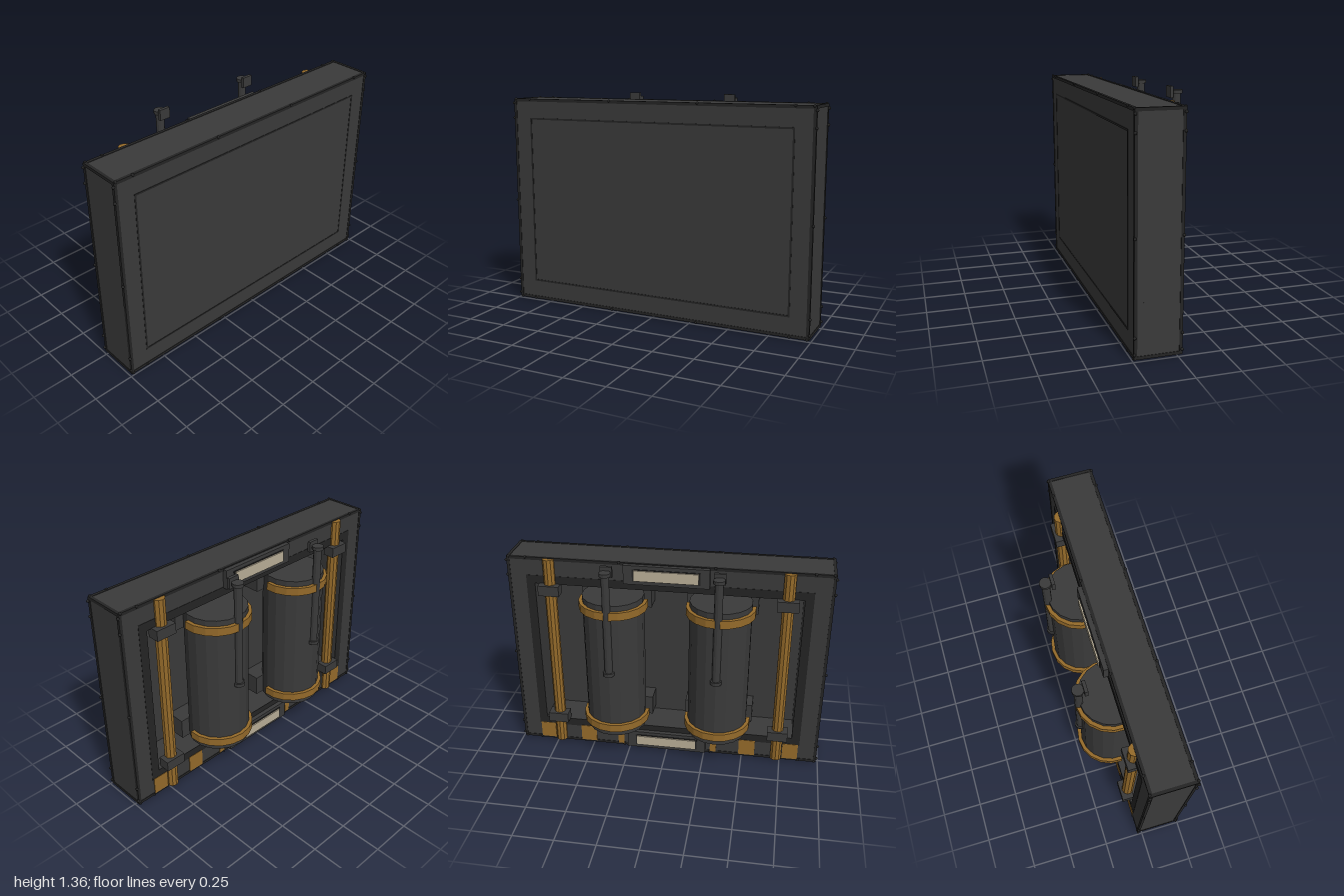
import * as THREE from 'three';

export function createModel() {
  const model = new THREE.Group();
  const mat = (name, color) => {
    const m = new THREE.MeshStandardMaterial({ color });
    m.name = name;
    return m;
  };
  const charcoal = mat('charcoal', 0x3a3a3a);
  const black = mat('black', 0x242424);
  const brass = mat('brass', 0x946a2a);
  const cream = mat('cream', 0xb8ad96);

  const add = (name, geometry, material, x = 0, y = 0, z = 0) => {
    const mesh = new THREE.Mesh(geometry, material);
    mesh.name = name;
    mesh.position.set(x, y, z);
    model.add(mesh);
    return mesh;
  };
  // box given by its limits on each axis
  const box = (name, material, x0, x1, y0, y1, z0, z1) =>
    add(name, new THREE.BoxGeometry(x1 - x0, y1 - y0, z1 - z0), material,
      (x0 + x1) / 2, (y0 + y1) / 2, (z0 + z1) / 2);
  // flat-shaded upright cylinder
  const post = (name, material, r, y0, y1, x, z, sides) => {
    const g = new THREE.CylinderGeometry(r, r, y1 - y0, sides).toNonIndexed();
    g.computeVertexNormals();
    return add(name, g, material, x, (y0 + y1) / 2, z);
  };
  // rectangular ring around the middle of the case
  const MID = 0.672;
  const ring = (name, material, w, h, iw, ih, z0, z1) => {
    const rect = (P, a, b) => new P([
      new THREE.Vector2(-a, -b), new THREE.Vector2(a, -b),
      new THREE.Vector2(a, b), new THREE.Vector2(-a, b)]);
    const shape = rect(THREE.Shape, w, h);
    shape.holes.push(rect(THREE.Path, iw, ih));
    return add(name, new THREE.ExtrudeGeometry(shape, { depth: z1 - z0, bevelEnabled: false }),
      material, 0, MID, z0);
  };

  // case: deep frame open at the back, closed by a front slab
  const W = 0.985, H = 0.658, BACK = -0.025, FRONT = 0.24;
  ring('caseFrame', charcoal, W, H, 0.82, 0.49, BACK, 0.19);
  box('frontSlab', charcoal, -W, W, MID - H, MID + H, 0.19, FRONT);
  ring('frontPanelSeam', black, 0.87, 0.54, 0.859, 0.529, FRONT - 0.002, FRONT + 0.002);
  ring('backOpeningRim', black, 0.873, 0.543, 0.82, 0.49, BACK - 0.002, BACK + 0.002);

  // dark edge strips along all twelve edges, with rivets on them
  const e = 0.009, o = 0.003;
  const strip = (cx, cy, cz, lx, ly, lz) => box('edgeStrip', black,
    cx - lx, cx + lx, cy - ly, cy + ly, cz - lz, cz + lz);
  const rivetGeo = new THREE.IcosahedronGeometry(0.009, 1);
  const rivet = (x, y, z) => add('rivet', rivetGeo, black, x, y, z);
  const zMid = (FRONT + BACK) / 2, zHalf = (FRONT - BACK) / 2;
  for (const s of [-1, 1]) {
    for (const t of [-1, 1]) {
      strip(0, MID + s * (H - e + o), zMid + t * (zHalf - e + o), W, e, e);
      strip(s * (W - e + o), MID, zMid + t * (zHalf - e + o), e, H, e);
      strip(s * (W - e + o), MID + t * (H - e + o), zMid, e, e, zHalf);
      const z = zMid + t * zHalf;
      for (const x of [-0.975, -0.87, -0.29, 0.29, 0.87, 0.975]) rivet(x, MID + s * H, z);
      for (const y of [0.04, 0.135, MID, 1.21, 1.305]) rivet(s * 0.99, y, z);
    }
  }

  // strap around the back half of a tank
  const strapGeometry = () => {
    const s = new THREE.Shape();
    const n = 10, a0 = -0.12, a1 = Math.PI + 0.12;
    for (let i = 0; i <= n; i++) {
      const a = a0 + (a1 - a0) * i / n;
      s[i ? 'lineTo' : 'moveTo'](0.212 * Math.cos(a), 0.212 * Math.sin(a));
    }
    for (let i = n; i >= 0; i--) {
      const a = a0 + (a1 - a0) * i / n;
      s.lineTo(0.182 * Math.cos(a), 0.182 * Math.sin(a));
    }
    return new THREE.ExtrudeGeometry(s, { depth: 0.05, bevelEnabled: false }).rotateX(-Math.PI / 2);
  };

  for (const side of [-1, 1]) {
    // tank with straps and mounting blocks
    const tx = side * 0.33;
    post('tank', charcoal, 0.19, 0.215, 1.13, tx, -0.03, 18);
    for (const y of [0.255, 1.045]) {
      add('tankStrap', strapGeometry(), brass, tx, y, -0.03);
      box('tankMount', charcoal, tx - 0.22, tx + 0.22, y - 0.04, y + 0.09, 0.07, 0.19);
    }
    // rod with end caps and a hook plate
    post('rod', charcoal, 0.025, 0.67, 1.34, tx, -0.22, 12);
    post('rodTopCap', charcoal, 0.035, 1.322, 1.343, tx, -0.22, 12);
    post('rodBottomCap', charcoal, 0.035, 0.665, 0.687, tx, -0.22, 12);
    box('hookArm', charcoal, tx - 0.02, tx + 0.02, 1.322, 1.343, -0.22, -0.185);
    box('hookPlate', charcoal, tx - 0.035, tx + 0.035, 1.3, 1.366, -0.19, -0.17);

    // upright pipe held by two clamps
    const px = side * 0.725;
    post('pipe', brass, 0.037, 0.02, 1.328, px, -0.024, 10);
    for (const y of [0.18, 1.1]) {
      box('pipeClamp', charcoal, px - 0.065, px + 0.065, y, y + 0.065, -0.075, 0);
    }

    // brass inlays on the lower frame
    for (const [a, b] of [[0.29, 0.33], [0.48, 0.585], [0.765, 0.865]]) {
      const x0 = Math.min(side * a, side * b), x1 = Math.max(side * a, side * b);
      box('brassInlay', brass, x0, x1, 0.022, 0.135, BACK - 0.005, BACK + 0.002);
    }
  }

  // light panels on dark holders at top and bottom of the back
  for (const y of [0.0825, 1.2675]) {
    box('panelHolder', charcoal, -0.26, 0.26, y - 0.06, y + 0.06, -0.055, BACK);
    box('panelBezel', black, -0.205, 0.205, y - 0.038, y + 0.038, -0.06, -0.055);
    box('lightPanel', cream, -0.195, 0.195, y - 0.033, y + 0.033, -0.068, -0.06);
  }
  return model;
}
